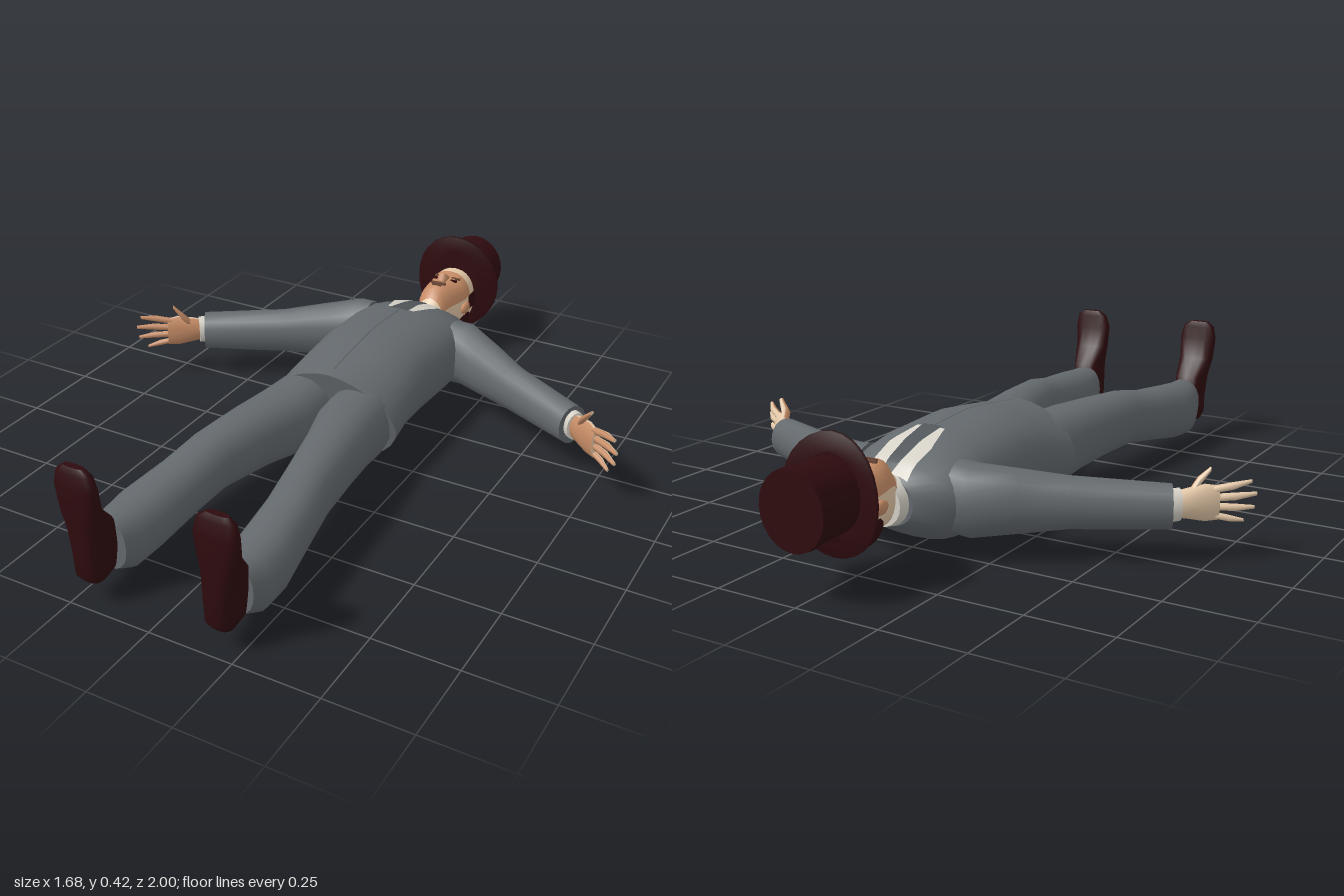
import * as THREE from 'three';

const paint = (name, color) => {
  const m = new THREE.MeshStandardMaterial({ color });
  m.name = name;
  return m;
};
const vec = (x, y, z) => new THREE.Vector3(x, y, z);
const X = vec(1, 0, 0), Y = vec(0, 1, 0), Z = vec(0, 0, 1);

// Skin a row of superellipse rings; u x v must point along the row. pick() chooses a material per face.
function loft(rings, u0, v, n = 20, pick = () => 0) {
  const pos = [], lists = [[], []];
  const pw = (t, p) => Math.sign(t) * Math.abs(t) ** (2 / p);
  rings.forEach(r => {
    const u = r.u || u0, w = u.clone().cross(v);
    for (let j = 0; j < n; j++) {
      const a = j / n * Math.PI * 2, c = Math.cos(a), s = Math.sin(a), p = r.p || 2;
      const q = r.c.clone().addScaledVector(u, r.ru * pw(c, p)).addScaledVector(v, r.rv * pw(s, p));
      if (r.w) q.addScaledVector(w, r.w(c, s));
      pos.push(q.x, q.y, q.z);
    }
  });
  for (let i = 0; i < rings.length - 1; i++) for (let j = 0; j < n; j++) {
    const k = (j + 1) % n, am = (j + 0.5) / n * Math.PI * 2;
    const a = i * n + j, b = i * n + k, c = b + n, d = a + n;
    lists[pick(i, Math.cos(am), Math.sin(am))].push(a, b, c, a, c, d);
  }
  // end caps with their own vertices, so that the rims stay sharp
  for (const [i, flip] of [[0, true], [rings.length - 1, false]]) {
    const start = pos.length / 3, c = rings[i].c;
    pos.push(...pos.slice(i * n * 3, (i + 1) * n * 3), c.x, c.y, c.z);
    for (let j = 0; j < n; j++) {
      const a = start + j, b = start + (j + 1) % n;
      lists[0].push(start + n, flip ? b : a, flip ? a : b);
    }
  }
  const g = new THREE.BufferGeometry();
  g.setAttribute('position', new THREE.Float32BufferAttribute(pos, 3));
  g.setIndex([...lists[0], ...lists[1]]);
  g.addGroup(0, lists[0].length, 0);
  g.addGroup(lists[0].length, lists[1].length, 1);
  g.computeVertexNormals();
  return g;
}

// Ring across the body: x centre, z, lowest y, highest y, half width, squareness
const across = (x, z, lo, hi, ru, p = 2, w) => ({ c: vec(x, (lo + hi) / 2, z), ru, rv: (hi - lo) / 2, p, w });

// Height of the upper surface of a row of such rings
function topOf(rings, x, z) {
  let i = 0;
  while (i < rings.length - 2 && rings[i + 1].c.z < z) i++;
  const a = rings[i], b = rings[i + 1], t = (z - a.c.z) / (b.c.z - a.c.z);
  const mix = (m, n) => m + (n - m) * t;
  const p = mix(a.p, b.p), k = Math.min(1, Math.abs(x) / mix(a.ru, b.ru));
  return mix(a.c.y, b.c.y) + mix(a.rv, b.rv) * (1 - k ** p) ** (1 / p);
}

// Thin cloth patch lying on the upper surface; rows are [z, x from, x to]
function patch(rings, rows, lift) {
  const pos = [], idx = [], cols = 4, steps = 5;
  const fine = [];
  rows.slice(1).forEach((r, i) => {
    for (let s = i ? 1 : 0; s <= steps; s++) fine.push(r.map((v, k) => rows[i][k] + (v - rows[i][k]) * s / steps));
  });
  fine.forEach(([z, x0, x1], i) => {
    for (let j = 0; j <= cols; j++) {
      const x = x0 + (x1 - x0) * j / cols;
      pos.push(x, topOf(rings, x, z) + lift, z);
      if (i && j) {
        const d = i * (cols + 1) + j, c = d - 1, b = d - cols - 1, a = b - 1;
        idx.push(a, c, b, b, c, d);
      }
    }
  });
  const g = new THREE.BufferGeometry();
  g.setAttribute('position', new THREE.Float32BufferAttribute(pos, 3));
  g.setIndex(idx);
  g.computeVertexNormals();
  return g;
}

function mirrored(geometry) {
  const g = geometry.clone().scale(-1, 1, 1), ix = g.index.array;
  for (let i = 0; i < ix.length; i += 3) [ix[i], ix[i + 1]] = [ix[i + 1], ix[i]];
  g.computeVertexNormals();
  return g;
}

export function createModel() {
  const model = new THREE.Group();
  model.name = 'lyingMan';
  const suit = paint('greySuit', 0x64696d), dark = paint('darkGreyCloth', 0x52575b);
  const maroon = paint('darkMaroon', 0x2e0b0e), white = paint('shirtWhite', 0xd6d2c8);
  const pale = paint('paleSkin', 0xe2c6a6), tan = paint('tanSkin', 0xc68c66);
  const brown = paint('browBrown', 0x6a4636);
  const add = (name, geometry, material) => {
    const m = new THREE.Mesh(geometry, material);
    m.name = name;
    model.add(m);
  };
  const pair = (name, geometry, material) => {
    add('left' + name, geometry, material);
    add('right' + name, mirrored(geometry), material);
  };

  // jacket body from collar to slanted hem
  const torso = [
    across(0, -0.615, 0.1, 0.235, 0.085, 2.2), across(0, -0.575, 0.075, 0.265, 0.19, 2.2),
    across(0, -0.49, 0.03, 0.298, 0.2, 2.4), across(0, -0.4, 0.025, 0.318, 0.197, 2.4),
    across(0, -0.2, 0.03, 0.33, 0.195, 2.3), across(0, -0.08, 0.03, 0.318, 0.2, 2.1),
    across(0, 0.045, 0.002, 0.302, 0.213, 1.8, (c, s) => 0.03 * s),
  ];
  add('jacket', loft(torso, X, Y, 28), suit);

  // shirt front, tie and jacket closing edge
  pair('ShirtFront', patch(torso, [[-0.61, 0.012, 0.065], [-0.5, 0.02, 0.07], [-0.4, 0.03, 0.045]], 0.006), white);
  add('tie', patch(torso, [[-0.61, -0.014, 0.014], [-0.58, -0.02, 0.02], [-0.5, -0.024, 0.024], [-0.39, -0.03, 0.03]], 0.008), dark);
  add('jacketEdge', patch(torso, [[-0.39, -0.002, 0.002], [0.04, -0.002, 0.002]], 0.004), dark);
  add('collar', loft([across(0, -0.645, 0.105, 0.235, 0.066), across(0, -0.6, 0.095, 0.25, 0.078)], X, Y), white);

  // trouser legs
  pair('TrouserLeg', loft([
    across(0.095, -0.05, 0.06, 0.27, 0.09), across(0.095, 0.08, 0.045, 0.272, 0.1, 2.3),
    across(0.103, 0.17, 0.06, 0.272, 0.098, 2.3), across(0.13, 0.3, 0.075, 0.272, 0.086, 2.2),
    across(0.158, 0.47, 0.085, 0.265, 0.076, 2.2), across(0.175, 0.6, 0.068, 0.242, 0.077, 2.2),
    across(0.193, 0.76, 0.042, 0.228, 0.083, 2.2), across(0.196, 0.84, 0.035, 0.222, 0.074, 2.2),
    across(0.194, 0.895, 0.065, 0.222, 0.058, 2.2),
  ], X, Y), suit);

  // shoes, heel down and toe up: y, z from, z to, x centre, half width
  pair('Shoe', loft([
    [0.072, 0.92, 0.98, 0.2, 0.03], [0.095, 0.89, 0.997, 0.2, 0.043], [0.16, 0.875, 1, 0.2, 0.045],
    [0.23, 0.885, 1, 0.203, 0.05], [0.29, 0.935, 1, 0.207, 0.058], [0.36, 0.952, 0.998, 0.208, 0.064],
    [0.4, 0.956, 0.99, 0.21, 0.055], [0.418, 0.962, 0.982, 0.212, 0.032],
  ].map(([y, z0, z1, x, rv]) => ({ c: vec(x, y, (z0 + z1) / 2), ru: (z1 - z0) / 2, rv, p: 2.8 })), Z, X, 16), maroon);

  // sleeves
  pair('Sleeve', loft([
    { c: vec(0.15, 0.17, -0.485), ru: 0.08, rv: 0.105, u: vec(0, 0, -1) },
    { c: vec(0.2, 0.168, -0.488), ru: 0.084, rv: 0.104, u: vec(0.1, 0, -0.995) },
    { c: vec(0.3, 0.166, -0.428), ru: 0.07, rv: 0.09, u: vec(0.4, 0, -0.917) },
    { c: vec(0.415, 0.163, -0.36), ru: 0.056, rv: 0.074, u: vec(0.45, 0, -0.893) },
    { c: vec(0.655, 0.158, -0.24), ru: 0.051, rv: 0.063, u: vec(0.5, 0, -0.866) },
  ], X, Y, 16), suit);

  // hands: along the forearm (t), up (y) and out of the back of the hand (k)
  const d = vec(0.78, 0, 0.625), out = vec(0.625, 0, -0.78);
  const at = (t, y, k = 0) => vec(0.655, y, -0.24).addScaledVector(d, t).addScaledVector(out, k);
  const palmSide = (i, c) => (c < -0.1 ? 1 : 0);
  const skin = [pale, tan];
  pair('Cuff', loft([{ c: at(-0.03, 0.16), ru: 0.034, rv: 0.048 }, { c: at(0.022, 0.163), ru: 0.032, rv: 0.045 }], out, Y, 14), white);
  pair('Palm', loft([
    { c: at(0, 0.163), ru: 0.022, rv: 0.034 }, { c: at(0.04, 0.165), ru: 0.025, rv: 0.042 },
    { c: at(0.09, 0.165), ru: 0.021, rv: 0.052 }, { c: at(0.128, 0.163), ru: 0.013, rv: 0.048 },
  ], out, Y, 14, palmSide), skin);
  const finger = (name, t0, y0, t1, y1, k, r) => pair(name, loft([
    { c: at(t0, y0), ru: r, rv: r },
    { c: at((t0 + t1) / 2, (y0 + y1) / 2, k), ru: r, rv: r },
    { c: at(t1, y1, k / 2), ru: r * 0.5, rv: r * 0.5 },
  ], out, Y, 8, palmSide), skin);
  finger('IndexFinger', 0.11, 0.2, 0.215, 0.22, 0.008, 0.011);
  finger('MiddleFinger', 0.115, 0.177, 0.23, 0.185, 0.008, 0.011);
  finger('RingFinger', 0.115, 0.153, 0.225, 0.148, 0.008, 0.0105);
  finger('LittleFinger', 0.11, 0.13, 0.197, 0.112, 0.006, 0.0095);
  finger('Thumb', 0.045, 0.185, 0.105, 0.255, -0.014, 0.014);

  // head and neck, with a darker face area
  const head = [
    across(0, -0.84, 0.11, 0.298, 0.072, 2.3), across(0, -0.79, 0.1, 0.302, 0.076, 2.4),
    across(0, -0.755, 0.1, 0.292, 0.076, 2.4), across(0, -0.71, 0.105, 0.295, 0.07, 2.3),
    across(0, -0.675, 0.11, 0.298, 0.063, 2.2), across(0, -0.645, 0.11, 0.293, 0.053, 2.1),
    across(0, -0.627, 0.11, 0.265, 0.05, 2), across(0, -0.59, 0.105, 0.225, 0.058, 2),
  ];
  add('head', loft(head, X, Y, 24, (i, c, s) => (i > 0 && i < 6 && s > 0.35 ? 1 : 0)), skin);
  add('nose', loft([
    { c: vec(0, 0.286, -0.765), ru: 0.008, rv: 0.01 }, { c: vec(0, 0.3, -0.73), ru: 0.012, rv: 0.02 },
    { c: vec(0, 0.302, -0.716), ru: 0.017, rv: 0.022 }, { c: vec(0, 0.293, -0.704), ru: 0.012, rv: 0.008 },
  ], X, Y, 8), tan);
  pair('Ear', new THREE.SphereGeometry(1, 10, 8).scale(0.012, 0.02, 0.03).translate(0.078, 0.2, -0.745), tan);

  // thin facial details
  const plate = (x, z, w, l) => new THREE.BoxGeometry(w, 0.006, l).translate(x, topOf(head, x, z) + 0.001, z);
  pair('Eye', plate(0.03, -0.745, 0.022, 0.008), maroon);
  pair('Brow', plate(0.031, -0.763, 0.032, 0.007), brown);
  add('moustache', plate(0, -0.688, 0.052, 0.01), brown);
  add('mouth', plate(0, -0.673, 0.034, 0.005), brown);

  // hair covering the back of the head
  add('hair', new THREE.SphereGeometry(1, 20, 14).scale(0.079, 0.07, 0.085).translate(0, 0.15, -0.765), maroon);
  pair('Sideburn', new THREE.BoxGeometry(0.012, 0.05, 0.055).translate(0.071, 0.205, -0.805), maroon);

  // top hat: flared crown and a brim curled at the sides
  add('hatCrown', loft([
    across(0, -1, 0.143, 0.357, 0.1), across(0, -0.985, 0.141, 0.359, 0.1),
    across(0, -0.92, 0.148, 0.352, 0.094), across(0, -0.835, 0.147, 0.355, 0.092),
  ], X, Y, 24), maroon);
  const curl = c => -0.02 * c * c;
  add('hatBrim', loft([
    across(0, -0.845, 0.14, 0.36, 0.09), across(0, -0.838, 0.08, 0.412, 0.148, 2, curl),
    across(0, -0.826, 0.08, 0.412, 0.148, 2, curl), across(0, -0.828, 0.14, 0.36, 0.08),
  ], X, Y, 28), maroon);

  return model;
}
